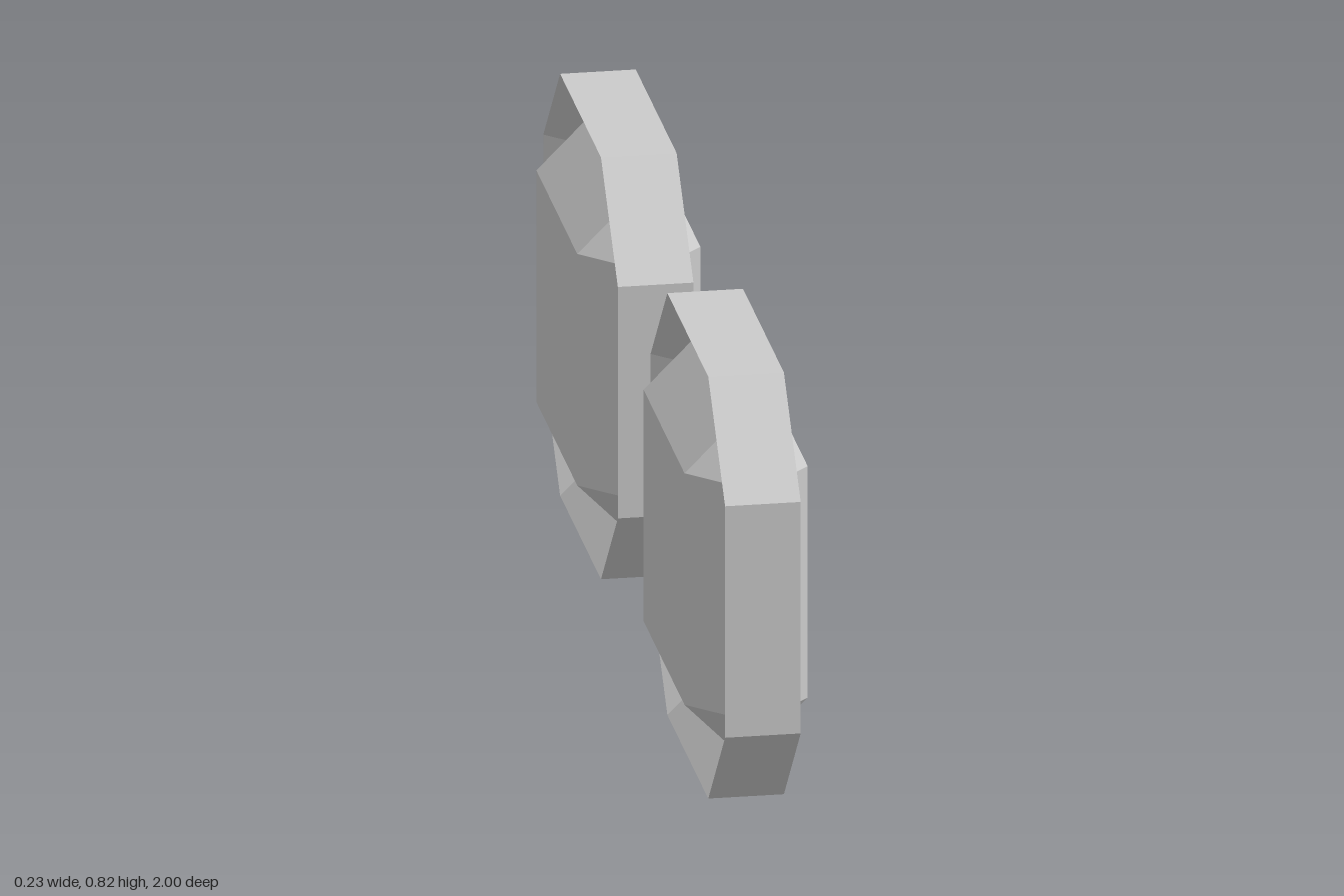
import * as THREE from 'three';

const FLAT = 0.225; // half length of every straight octagon side
const material = new THREE.MeshStandardMaterial({ color: 0xcccccc, flatShading: true });

// Octagon of half-width r in the z-y plane; it becomes a square when r equals FLAT
function octagon(x, r) {
  const corners = [
    [r, -FLAT], [r, FLAT], [FLAT, r], [-FLAT, r],
    [-r, FLAT], [-r, -FLAT], [-FLAT, -r], [FLAT, -r],
  ];
  return corners.map(([z, y]) => new THREE.Vector3(x, y, z));
}

// Bevelled core whose waist joins a flared rim with V-shaped inner walls
function createBlockGeometry() {
  const profile = [
    [0.114, FLAT], [0, 0.34], [0.07, 0.41],
    [-0.07, 0.41], [0, 0.34], [-0.114, FLAT],
  ];
  const loops = profile.map(([x, r]) => octagon(x, r));
  const points = [];
  const addTriangle = (a, b, c) => {
    const area = b.clone().sub(a).cross(c.clone().sub(a)).length();
    if (area > 1e-8) points.push(a, b, c);
  };
  for (let i = 0; i < loops.length - 1; i++) {
    for (let j = 0; j < 8; j++) {
      const k = (j + 1) % 8;
      addTriangle(loops[i][j], loops[i][k], loops[i + 1][j]);
      addTriangle(loops[i][k], loops[i + 1][k], loops[i + 1][j]);
    }
  }
  // Flat square side faces
  const first = loops[0];
  const last = loops[loops.length - 1];
  for (let j = 1; j < 7; j++) {
    addTriangle(first[0], first[j + 1], first[j]);
    addTriangle(last[0], last[j], last[j + 1]);
  }
  const geometry = new THREE.BufferGeometry().setFromPoints(points);
  geometry.computeVertexNormals();
  return geometry;
}

export function createModel() {
  const model = new THREE.Group();
  model.name = 'twinBlocks';

  // Matching front and back blocks
  const blockGeometry = createBlockGeometry();
  for (const [name, z] of [['frontBlock', 0.59], ['backBlock', -0.59]]) {
    const block = new THREE.Mesh(blockGeometry, material);
    block.name = name;
    block.position.set(0, 0.41, z);
    model.add(block);
  }

  // Thin plate joining the blocks, slightly off centre
  const plate = new THREE.Mesh(new THREE.BoxGeometry(0.011, 0.39, 0.37), material);
  plate.name = 'connectingPlate';
  plate.position.set(0.024, 0.413, 0);
  model.add(plate);

  return model;
}
